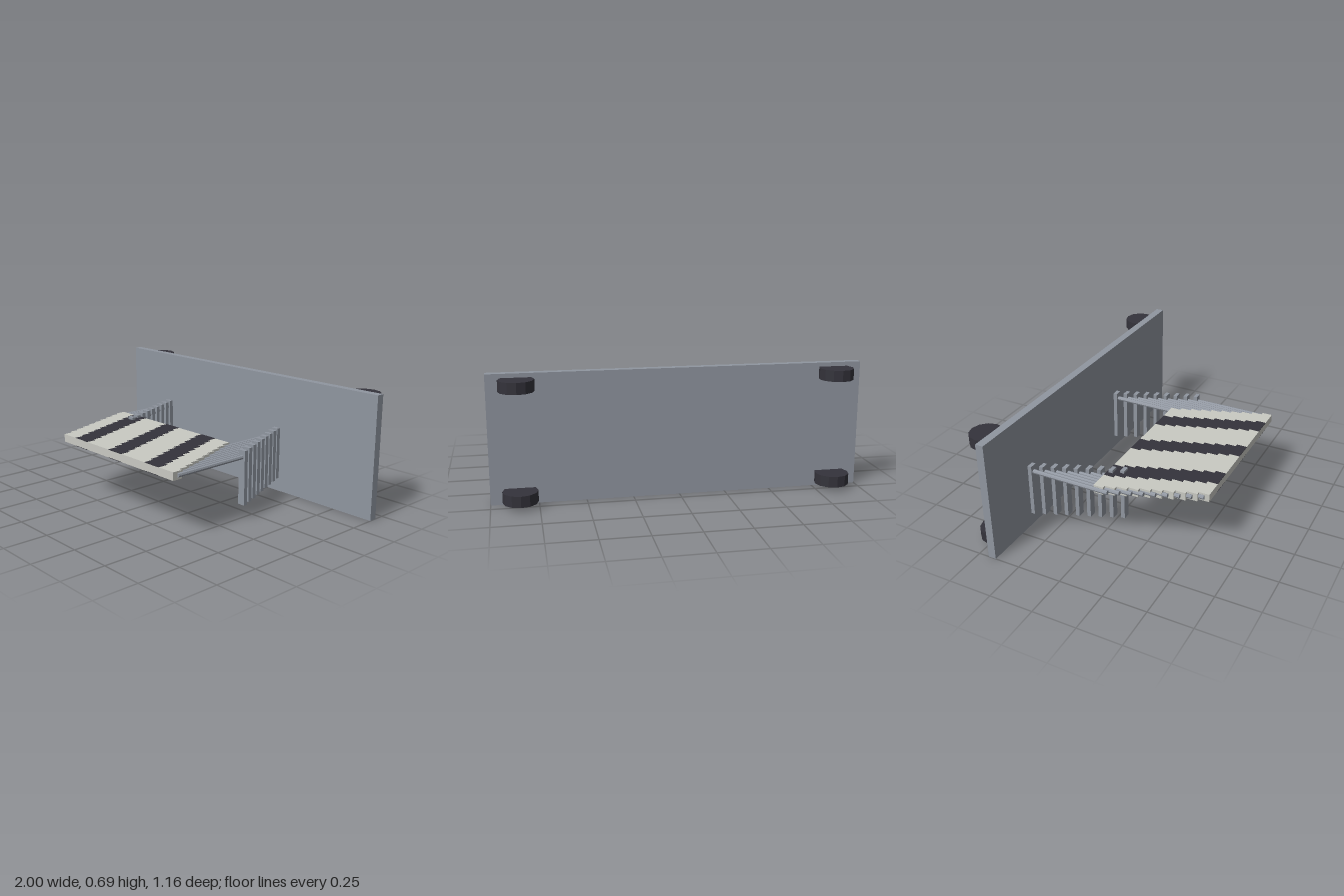
import * as THREE from 'three';

const paint = (name, color) => {
  const m = new THREE.MeshStandardMaterial({ color });
  m.name = name;
  return m;
};

export function createModel() {
  const model = new THREE.Group();
  model.name = 'platform';
  const grey = paint('steel grey', 0x9096a0);
  const light = paint('pale grey', 0xc9cac3);
  const dark = paint('charcoal', 0x34333b);

  const add = (name, geometry, material, x, y, z) => {
    const mesh = new THREE.Mesh(geometry, material);
    mesh.name = name;
    mesh.position.set(x, y, z);
    model.add(mesh);
    return mesh;
  };

  // Upright back plate
  add('backPlate', new THREE.BoxGeometry(2, 0.692, 0.045), grey, 0, 0.346, -0.418);

  // Four rollers half sunk into the plate
  const roller = new THREE.CylinderGeometry(0.092, 0.092, 0.06, 12).toNonIndexed();
  roller.computeVertexNormals();
  for (const x of [-0.846, 0.846])
    for (const y of [0.056, 0.64]) add('roller', roller, dark, x, y, -0.488);

  // Two staggered rows of posts, each carrying a rod that runs forward to the deck
  const post = new THREE.BoxGeometry(0.044, 0.306, 0.023);
  const rod = new THREE.CylinderGeometry(0.0125, 0.0125, 0.467, 8).toNonIndexed();
  rod.rotateX(Math.PI / 2);
  rod.computeVertexNormals();
  for (const startX of [-0.635, 0.318])
    for (let i = 0; i < 9; i++) {
      const x = startX + i * 0.0235;
      const z = -0.382 + i * 0.058;
      add('post', post, grey, x, 0.233, z);
      add('rod', rod, grey, x, 0.348, z + 0.2335);
    }

  // Slanted deck of ten stepped planks, with stripes painted above and below
  const depth = 0.0576;
  const plank = new THREE.BoxGeometry(0.95, 0.045, depth);
  const stripe = new THREE.BoxGeometry(0.112, 0.003, depth);
  for (let k = 0; k < 10; k++) {
    const x = -0.158 + k * 0.021;
    const z = (k + 0.5) * depth;
    add('plank', plank, light, x, 0.3475, z);
    for (const offset of [-0.308, 0, 0.308])
      for (const y of [0.325, 0.37]) add('stripe', stripe, dark, x + offset, y, z);
  }
  return model;
}
